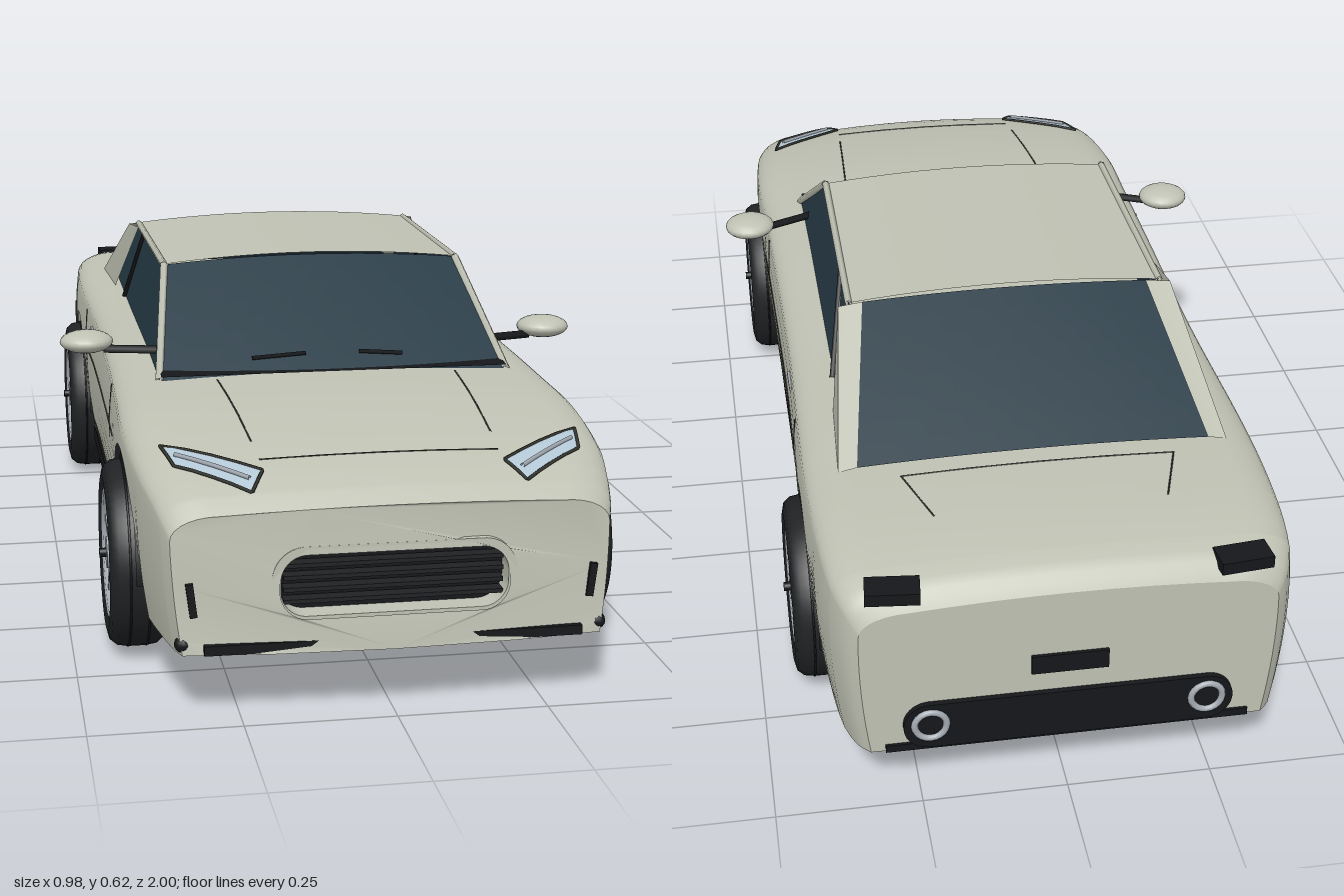
import * as THREE from 'three';

const mat = (color, roughness = 0.6) => new THREE.MeshStandardMaterial({ color, roughness, side: THREE.DoubleSide });
const V = (x, y, z) => new THREE.Vector3(x, y, z);

// Body stations: z, half width, top height
const ST = [
  [0.945, 0.36, 0.345], [0.92, 0.37, 0.364], [0.87, 0.382, 0.384], [0.78, 0.398, 0.406], [0.6, 0.41, 0.43],
  [0.42, 0.407, 0.44], [0.2, 0.404, 0.447], [-0.2, 0.402, 0.45], [-0.6, 0.41, 0.455], [-0.8, 0.404, 0.455],
  [-0.92, 0.39, 0.446], [-0.97, 0.37, 0.432], [-0.99, 0.35, 0.405],
];
const BOTTOM = 0.11, AXLE = 0.59, HUB = 0.165, ARCH = 0.19;

// Smooth interpolation of a station column at z
function at(z, k) {
  let i = 0;
  while (i < ST.length - 2 && z < ST[i + 1][0]) i++;
  const slope = j => {
    const a = ST[Math.max(j - 1, 0)], b = ST[Math.min(j + 1, ST.length - 1)];
    return (b[k] - a[k]) / (b[0] - a[0]);
  };
  const h = ST[i + 1][0] - ST[i][0], t = (z - ST[i][0]) / h, t2 = t * t, t3 = t2 * t;
  return (2 * t3 - 3 * t2 + 1) * ST[i][k] + (t3 - 2 * t2 + t) * h * slope(i)
    + (3 * t2 - 2 * t3) * ST[i + 1][k] + (t3 - t2) * h * slope(i + 1);
}
const sideX = (z, y) => at(z, 1) * (1 - (y < 0.32 ? 0.045 * ((0.32 - y) / 0.21) ** 2 : 0.03 * ((y - 0.32) / 0.12) ** 2));
const lowerEdge = z => {
  const d = Math.abs(Math.abs(z) - AXLE);
  return d < ARCH ? Math.max(BOTTOM, HUB + Math.sqrt(ARCH * ARCH - d * d)) : BOTTOM;
};
function topY(x, z) {
  const yt = at(z, 2), ys = yt - 0.05, xs = sideX(z, ys), xc = xs - 0.08, a = Math.abs(x);
  if (a < xc) return yt - 0.01 * (a / xc) ** 2;
  return ys + 0.04 * Math.sqrt(Math.max(0, 1 - ((a - xc) / 0.08) ** 2));
}
// Slight bow of the nose in plan and profile
function bow(x, y, z) {
  const f = THREE.MathUtils.smoothstep(z, 0.75, 0.945);
  return z + f * (0.025 * (1 - (x / 0.36) ** 2) + 0.02 * (0.35 - y) / 0.24);
}
function section(z) {
  const half = [], ys = at(z, 2) - 0.05, yb = lowerEdge(z), xs = sideX(z, ys), xc = xs - 0.08;
  for (let i = 0; i < 9; i++) { const y = yb + (ys - yb) * i / 8; half.push([sideX(z, y), y]); }
  for (let i = 1; i <= 7; i++) { const a = i / 7 * Math.PI / 2; half.push([xc + 0.08 * Math.cos(a), ys + 0.04 * Math.sin(a)]); }
  for (let i = 1; i <= 4; i++) { const x = xc * (1 - i / 4); half.push([x, topY(x, z)]); }
  return [...half, ...half.slice(0, -1).reverse().map(([x, y]) => [-x, y])];
}
// Surface through a grid of points
function grid(nu, nv, fn) {
  const pos = [], idx = [];
  for (let i = 0; i <= nu; i++) for (let j = 0; j <= nv; j++) pos.push(...fn(i, j));
  for (let i = 0; i < nu; i++) for (let j = 0; j < nv; j++) {
    const a = i * (nv + 1) + j, c = a + nv + 1;
    idx.push(a, c, a + 1, a + 1, c, c + 1);
  }
  const g = new THREE.BufferGeometry();
  g.setAttribute('position', new THREE.Float32BufferAttribute(pos, 3));
  g.setIndex(idx);
  g.computeVertexNormals();
  return g;
}
const patch = (a, b, c, d, n = 1, fn = p => p) => grid(n, n, (i, j) =>
  fn(a.clone().lerp(b, i / n).lerp(d.clone().lerp(c, i / n), j / n)).toArray());
function roundRect(w, h, r, P = THREE.Shape) {
  const s = new P();
  s.moveTo(w - r, -h);
  s.absarc(w - r, -h + r, r, -Math.PI / 2, 0); s.absarc(w - r, h - r, r, 0, Math.PI / 2);
  s.absarc(-w + r, h - r, r, Math.PI / 2, Math.PI); s.absarc(-w + r, -h + r, r, Math.PI, Math.PI * 1.5);
  s.closePath();
  return s;
}

export function createModel() {
  const car = new THREE.Group();
  const paint = mat(0xbfc2b3), glass = mat(0x263a45, 0.3), black = mat(0x15171a), rubber = mat(0x202224),
    silver = mat(0xa4aab2, 0.4), lamp = mat(0xb4c8d6, 0.3), seam = mat(0x35372f);
  const add = (name, geo, m, x = 0, y = 0, z = 0, parent = car) => {
    const o = new THREE.Mesh(geo, m);
    o.name = name; o.position.set(x, y, z); parent.add(o);
    return o;
  };
  const box = (name, w, h, d, m, x, y, z, p) => add(name, new THREE.BoxGeometry(w, h, d), m, x, y, z, p);
  const line = (name, pts, r, m) => {
    const path = new THREE.CurvePath();
    for (let i = 1; i < pts.length; i++) path.add(new THREE.LineCurve3(pts[i - 1], pts[i]));
    return add(name, new THREE.TubeGeometry(path, (pts.length - 1) * 8, r, 5), m);
  };
  const drape = (p, lift = 0.004) => { const y = topY(p.x, p.z); return V(p.x, y + lift, bow(p.x, y, p.z) + lift / 2); };

  // Body shell with the wheel arches cut into its lower edge
  const zs = ST.map(s => s[0]);
  for (let i = 0; i <= 24; i++) {
    const d = Math.cos(Math.PI * i / 24) * 0.1819;
    zs.push(AXLE + d, -AXLE + d);
  }
  for (let z = -0.98; z < 0.94; z += 0.03) zs.push(z);
  const rings = [...new Set(zs)].sort((a, b) => b - a).map(z => section(z).map(([x, y]) => [x, y, bow(x, y, z)]));
  add('bodyShell', grid(rings.length - 1, rings[0].length - 1, (i, j) => rings[i][j]), paint);

  // Nose panel with the grille mouth, and tail panel
  const endShape = z => new THREE.Shape([...section(z), [-0.2, BOTTOM], [0, BOTTOM], [0.2, BOTTOM]].map(p => new THREE.Vector2(...p)));
  const nose = endShape(0.945), mouth = roundRect(0.188, 0.053, 0.045, THREE.Path);
  nose.holes.push(new THREE.Path(mouth.getPoints(8).map(p => p.add(new THREE.Vector2(0, 0.218)))));
  const noseGeo = new THREE.ShapeGeometry(nose), np = noseGeo.attributes.position;
  for (let i = 0; i < np.count; i++) np.setZ(i, bow(np.getX(i), np.getY(i), 0.945));
  noseGeo.computeVertexNormals();
  add('nosePanel', noseGeo, paint);
  add('tailPanel', new THREE.ShapeGeometry(endShape(-0.99)).rotateY(Math.PI), paint, 0, 0, -0.99);

  // Grille
  const rim = roundRect(0.2, 0.065, 0.055);
  rim.holes.push(roundRect(0.186, 0.051, 0.043, THREE.Path));
  add('grilleSurround', new THREE.ExtrudeGeometry(rim, { depth: 0.047, bevelEnabled: false }), paint, 0, 0.218, 0.925);
  add('grilleBack', new THREE.ShapeGeometry(roundRect(0.2, 0.065, 0.055)), black, 0, 0.218, 0.93);
  for (let i = 0; i < 4; i++) box('grilleSlat', 0.36, 0.007, 0.025, rubber, 0, 0.188 + i * 0.02, 0.948);
  box('frontSplitter', 0.62, 0.016, 0.05, black, 0, 0.12, 0.955);

  // Tail details
  add('rearDiffuser', new THREE.ExtrudeGeometry(roundRect(0.28, 0.045, 0.044), { depth: 0.02, bevelEnabled: false }), black, 0, 0.162, -1);
  box('rearPlate', 0.13, 0.036, 0.008, black, 0, 0.265, -0.992);
  box('rearLip', 0.62, 0.014, 0.04, black, 0, 0.117, -0.975);

  // Floor and sills
  box('floor', 0.66, 0.02, 1.88, black, 0, 0.125, 0);
  box('sills', 0.785, 0.034, 0.8, black, 0, 0.124, 0);

  // Glass cabin
  const curve = (a, b, rise) => grid(8, 12, (i, j) => {
    const u = i / 8, s = 1 - j / 6, p = a.clone().lerp(b, u);
    return [p.x * s, p.y + rise * (1 - s * s), p.z];
  });
  const A = V(0.32, 0.425, 0.435), B = V(0.278, 0.597, 0.165), C = V(0.265, 0.6, -0.335), D = V(0.312, 0.452, -0.65);
  add('windscreen', curve(B, A, 0.012), glass);
  add('rearWindow', curve(D, C, 0.008), glass);
  add('cowl', patch(V(0.32, 0.44, 0.44), V(-0.32, 0.44, 0.44), V(-0.32, 0.445, 0.4), V(0.32, 0.445, 0.4)), black);
  add('roof', curve(C.clone().setX(0.29), B.clone().setX(0.288), 0.016), paint);
  for (const s of [1, -1]) {
    const m = (x, y, z) => V(s * x, y, z);
    add('sideWindow', patch(m(0.322, 0.43, 0.42), m(0.288, 0.598, 0.165), m(0.288, 0.6, -0.335), m(0.322, 0.44, -0.6)), glass);
    line('frontPillar', [m(0.323, 0.43, 0.425), m(0.286, 0.596, 0.165)], 0.008, paint);
    line('roofRail', [m(0.286, 0.596, 0.165), m(0.29, 0.598, -0.335)], 0.007, paint);
    line('windowDivider', [m(0.29, 0.596, -0.2), m(0.324, 0.44, -0.33)], 0.006, black);
    // Rear buttress, flared out from the rear window
    add('rearPillar', patch(m(0.296, 0.6, -0.27), m(0.31, 0.597, -0.34), m(0.345, 0.445, -0.65), m(0.335, 0.44, -0.45)), paint);
    add('rearPillarInner', patch(m(0.31, 0.597, -0.34), m(0.265, 0.6, -0.335), m(0.312, 0.452, -0.65), m(0.345, 0.445, -0.65)), paint);
    // Mirror
    add('mirror', new THREE.SphereGeometry(1, 20, 12).scale(0.05, 0.021, 0.048), paint, s * 0.442, 0.47, 0.25);
    line('mirrorArm', [m(0.31, 0.46, 0.3), m(0.41, 0.457, 0.262)], 0.008, black);
    // Headlamp draped over the wing
    const q = [m(0.355, 0, 0.755), m(0.34, 0, 0.83), m(0.225, 0, 0.915), m(0.2, 0, 0.865)];
    add('headlamp', patch(...q, 8, p => drape(p)), lamp);
    const edge = [];
    q.forEach((p, i) => { for (let k = 0; k < 4; k++) edge.push(drape(p.clone().lerp(q[(i + 1) % 4], k / 4))); });
    line('headlampEdge', [...edge, edge[0]], 0.003, seam);
    line('headlampBar', [0, 0.25, 0.5, 0.75, 1].map(t => drape(m(0.335 - 0.11 * t, 0, 0.8 + 0.085 * t), 0.006)), 0.004, silver);
    // Bumper slits, lower lamps, tail lamps, exhausts
    const slit = box('bumperSlit', 0.012, 0.056, 0.02, black, s * 0.328, 0.2, 0.957);
    slit.rotation.z = s * -0.12;
    add('lowerLamp', new THREE.SphereGeometry(0.014, 12, 8), black, s * 0.342, 0.126, 0.955);
    box('tailLamp', 0.09, 0.022, 0.05, black, s * 0.29, 0.426, -0.968).rotation.y = s * -0.1;
    add('exhaust', new THREE.TorusGeometry(0.027, 0.006, 8, 20), silver, s * 0.235, 0.165, -1);
    // Door seams, waist crease and handle
    const onSide = (z, y) => m(sideX(z, y) + 0.0005, y, z);
    const door = [[0.31, 0.4], [0.295, 0.33], [0.26, 0.165], [-0.05, 0.16], [-0.35, 0.165], [-0.385, 0.33], [-0.4, 0.4]];
    line('doorSeam', door.map(p => onSide(...p)), 0.002, seam);
    line('waistCrease', [0.39, 0.2, 0, -0.2, -0.38].map(z => onSide(z, 0.322)), 0.002, seam);
    box('doorHandle', 0.008, 0.008, 0.06, silver, s * sideX(-0.24, 0.385), 0.385, -0.24);
    // Bonnet and boot seams
    line('bonnetSeam', [0.45, 0.55, 0.65, 0.77].map(z => drape(m(0.22 - (0.45 - z) * -0.05, 0, z), 0)), 0.0015, seam);
    line('bootSeam', [drape(m(0.24, 0, -0.685), 0), drape(m(0.2, 0, -0.81), 0)], 0.0015, seam);
    line('wiper', [m(0.14 - s * 0.01, 0.462, 0.405), m(0.05, 0.467, 0.4)], 0.004, black);
  }
  for (const [name, w, z] of [['bonnetFrontSeam', 0.2, 0.83], ['bootFrontSeam', 0.24, -0.685]])
    line(name, [-1, -0.5, 0, 0.5, 1].map(t => drape(V(w * t, 0, z), 0)), 0.0015, seam);
  add('fuelCap', new THREE.TorusGeometry(0.03, 0.002, 5, 24).rotateY(Math.PI / 2), seam, -sideX(-0.85, 0.3), 0.3, -0.85);

  // Wheels, built around the x axis with the outer face at +x
  const tyreProfile = [[0.112, 0.046], [0.135, 0.05], [0.152, 0.046], [0.162, 0.034], [0.165, 0.015], [0.165, -0.015],
    [0.162, -0.034], [0.152, -0.046], [0.135, -0.05], [0.112, -0.046]].map(p => new THREE.Vector2(...p));
  const rimProfile = [[0.104, -0.04], [0.104, 0.03], [0.108, 0.044], [0.118, 0.046]].map(p => new THREE.Vector2(...p));
  const disc = (r, h) => new THREE.CylinderGeometry(r, r, h, 32).rotateZ(-Math.PI / 2);
  for (const s of [1, -1]) for (const z of [AXLE, -AXLE]) {
    const wheel = new THREE.Group();
    wheel.name = z > 0 ? 'frontWheel' : 'rearWheel';
    wheel.position.set(s * 0.39, HUB, z);
    if (s < 0) wheel.rotation.y = Math.PI;
    car.add(wheel);
    const put = (n, g, m, x = 0) => add(n, g, m, x, 0, 0, wheel);
    put('tyre', new THREE.LatheGeometry(tyreProfile, 48).rotateZ(-Math.PI / 2), rubber);
    for (const x of [-0.016, 0.016]) put('treadGroove', new THREE.TorusGeometry(0.1645, 0.002, 5, 48).rotateY(Math.PI / 2), black, x);
    put('rim', new THREE.LatheGeometry(rimProfile, 40).rotateZ(-Math.PI / 2), silver);
    put('wheelBack', disc(0.106, 0.01), black, -0.02);
    put('brakeDisc', disc(0.075, 0.012), mat(0x6c7076), 0);
    for (let i = 0; i < 10; i++) {
      const spoke = new THREE.BoxGeometry(0.012, 0.09, 0.014).translate(0, 0.063, 0).rotateX(i * Math.PI / 5);
      put('spoke', spoke, silver, 0.034);
    }
    put('hub', disc(0.028, 0.024), silver, 0.034);
    put('hubNut', disc(0.008, 0.02), black, 0.048);
    // Wheel well
    const well = new THREE.CylinderGeometry(ARCH, ARCH, 0.075, 32, 1, true, 0, Math.PI).rotateZ(Math.PI / 2);
    add('wheelWell', well, black, s * 0.362, HUB, z);
    add('wheelWellWall', new THREE.CircleGeometry(ARCH, 32, 0, Math.PI).rotateY(Math.PI / 2), black, s * 0.326, HUB, z);
  }
  return car;
}
